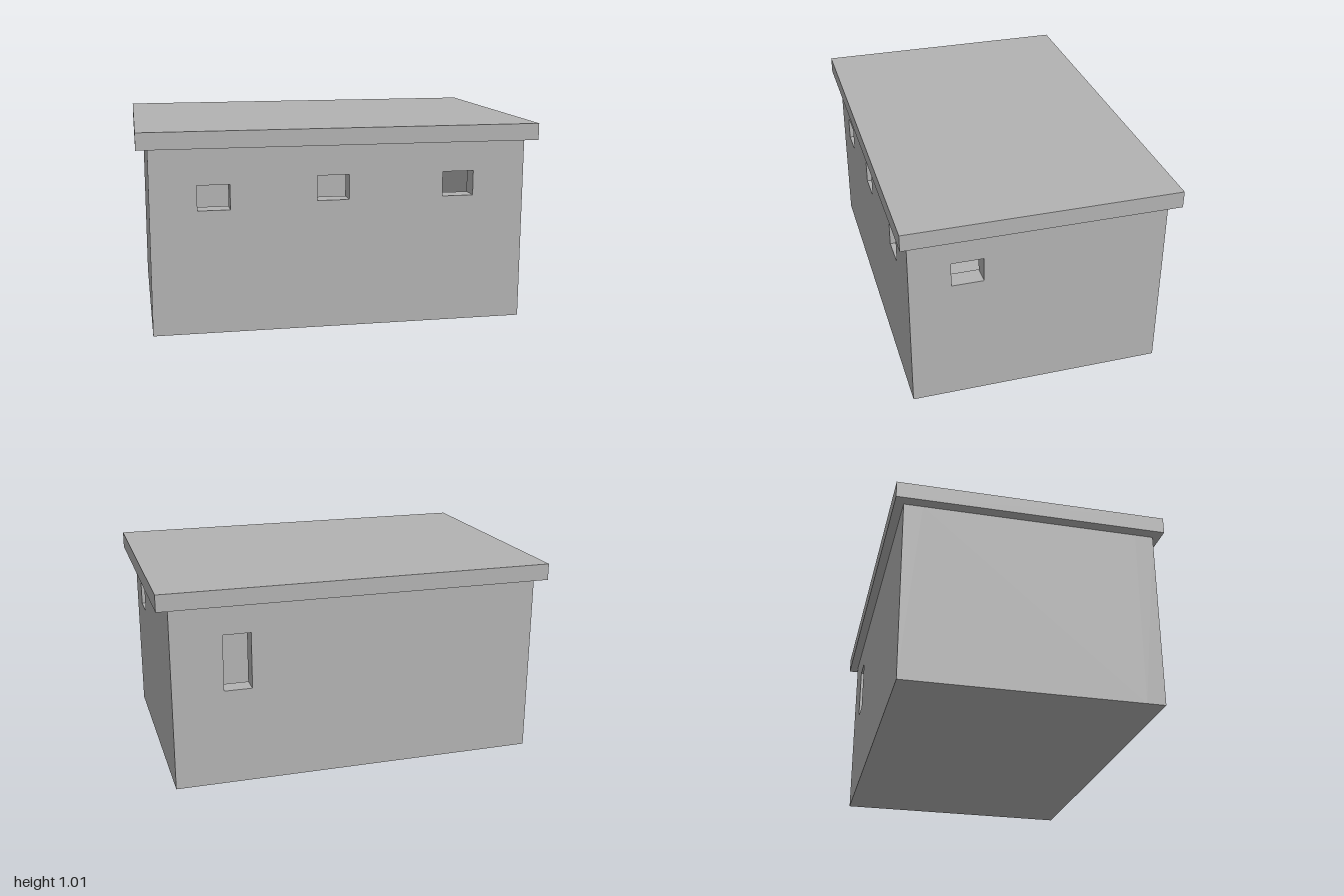
import * as THREE from 'three';

export function createModel() {
  const group = new THREE.Group();
  const concrete = new THREE.MeshStandardMaterial({ color: 0xb2b2b2 });
  concrete.name = 'concrete';

  const x0 = -0.945, x1 = 0.94, z0 = -0.635, z1 = 0.64;
  const wallTop = 0.928, roofTop = 1.012, t = 0.095;

  const add = (name, geometry) => {
    const mesh = new THREE.Mesh(geometry, concrete);
    mesh.name = name;
    group.add(mesh);
    return mesh;
  };

  // Rectangle outline running from (a, b) to (c, d)
  const rect = (path, a, b, c, d) => {
    path.moveTo(a, b);
    path.lineTo(c, b);
    path.lineTo(c, d);
    path.lineTo(a, d);
    path.closePath();
    return path;
  };

  // Upright wall panel with window openings, extruded by the wall thickness
  const wall = (name, a, b, windows) => {
    const shape = rect(new THREE.Shape(), a, 0, b, wallTop);
    for (const w of windows) shape.holes.push(rect(new THREE.Path(), ...w));
    return add(name, new THREE.ExtrudeGeometry(shape, { depth: t, bevelEnabled: false }));
  };

  // Long walls
  wall('frontWall', x0, x1, [
    [-0.715, 0.62, -0.555, 0.745],
    [-0.125, 0.65, 0.035, 0.775],
    [0.515, 0.65, 0.675, 0.775],
  ]).position.z = z1 - t;
  wall('backWall', x0, x1, [[0.545, 0.49, 0.685, 0.775]]).position.z = z0;

  // End walls, turned so that the panel's x runs along -z
  const right = wall('sideWallWithWindow', -(z1 - t), -(z0 + t), [[-0.435, 0.65, -0.277, 0.775]]);
  right.rotation.y = Math.PI / 2;
  right.position.x = x1 - t;
  const left = wall('plainSideWall', -(z1 - t), -(z0 + t), []);
  left.rotation.y = Math.PI / 2;
  left.position.x = x0;

  // Floor slab inside the walls
  const floor = add('floor', new THREE.BoxGeometry(x1 - x0 - 2 * t, 0.02, z1 - z0 - 2 * t));
  floor.position.set((x0 + x1) / 2, 0.01, (z0 + z1) / 2);

  // Flat overhanging roof slab
  const roof = add('roof', new THREE.BoxGeometry(2, roofTop - wallTop, 1.36));
  roof.position.y = (roofTop + wallTop) / 2;

  return group;
}
